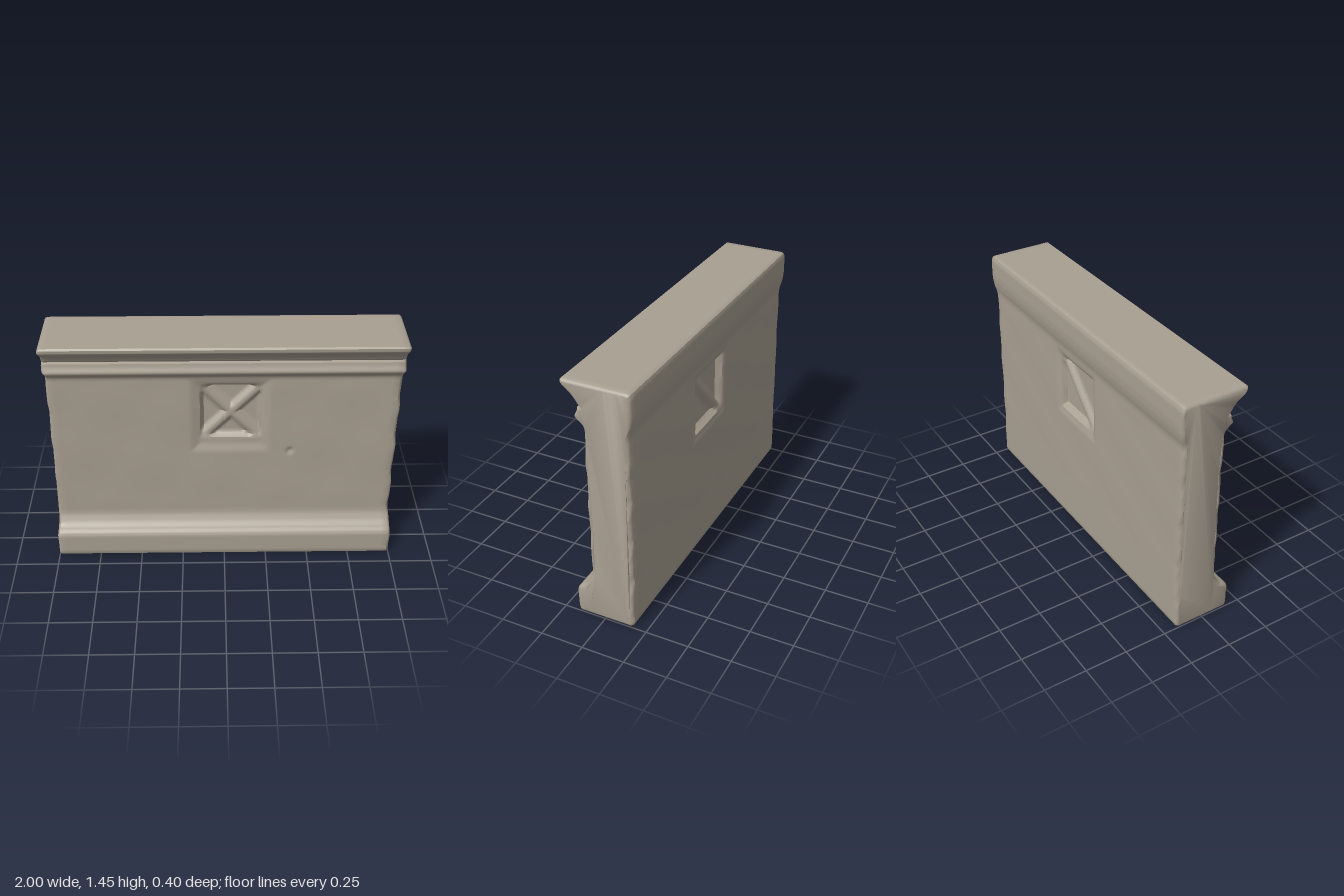
import * as THREE from 'three';
import { toCreasedNormals } from 'three/addons/utils/BufferGeometryUtils.js';

const FRONT = 0.08, BACK = -0.175;

// Cross-section [z, y]: up the front, over the top, down the back
const PROFILE = [
  [0.15, 0], [0.163, 0.008], [0.17, 0.03], [0.17, 0.145], [0.165, 0.16], [0.15, 0.176],
  [0.125, 0.188], [0.107, 0.207], [0.094, 0.23], [0.084, 0.25], [FRONT, 0.275],
  [FRONT, 1.19], [0.086, 1.207], [0.105, 1.228], [0.123, 1.245], [0.125, 1.256],
  [0.112, 1.285], [0.108, 1.304], [0.092, 1.31], [0.106, 1.322], [0.116, 1.34],
  [0.135, 1.365], [0.165, 1.39], [0.19, 1.408], [0.199, 1.422], [0.199, 1.438], [0.19, 1.446],
  [-0.175, 1.446], [-0.19, 1.44], [-0.197, 1.42], [-0.198, 1.33], [-0.195, 1.29],
  [-0.188, 1.25], [-0.178, 1.215], [BACK, 1.19], [BACK, 0.03], [-0.17, 0.01], [-0.157, 0],
];

const smooth = THREE.MathUtils.smoothstep;
const wave = (a, b) => Math.sin(a * 9.1 + b * 4.3) * Math.sin(b * 11.7 - a * 5.2 + 1.3);

// Subdivide the long runs of the profile
function denseProfile() {
  const pts = [];
  PROFILE.forEach((p, i) => {
    const q = PROFILE[(i + 1) % PROFILE.length];
    const n = Math.max(1, Math.ceil(Math.hypot(q[0] - p[0], q[1] - p[1]) / 0.014));
    for (let k = 0; k < n; k++) {
      pts.push(new THREE.Vector2(p[0] + (q[0] - p[0]) * k / n, p[1] + (q[1] - p[1]) * k / n));
    }
  });
  return pts;
}

// Soft-edged rectangular sink, 0 outside and 1 inside
const sink = (x, y, x0, x1, y0, y1, w) => smooth(Math.min(x - x0, x1 - x, y - y0, y1 - y), 0, w);

// Depth of the carved panel; the front has a crossed rib, the back one diagonal
function carving(x, y, crossed) {
  const u = (x - 0.04) / 0.165, v = (y - 0.955) / 0.17;
  let rib = Math.abs(u - v) * 0.118;
  if (crossed) rib = Math.min(rib, Math.abs(u + v) * 0.118);
  const bed = 0.25 + 0.75 * smooth(rib, 0.008, 0.045);
  const frame = crossed
    ? 0.016 * sink(x, y, -0.2, 0.27, 0.69, 1.195, 0.07)
    : 0.008 * sink(x, y, -0.17, 0.26, 0.74, 1.18, 0.04);
  let depth = frame + 0.036 * bed * sink(x, y, -0.14, 0.22, 0.785, 1.145, 0.025);
  if (crossed) depth += 0.012 * (1 - smooth(Math.hypot(x - 0.38, y - 0.7), 0.005, 0.03));
  return depth;
}

// Section positions along x with the rounding inset at both ends
function sections() {
  const list = [[-1, 0.016], [-0.995, 0.006], [-0.985, 0]];
  for (let x = -0.95; x < 0.96;) {
    list.push([x, 0]);
    x += x > -0.24 && x < 0.42 ? 0.011 : 0.035;
  }
  list.push([0.985, 0], [0.995, 0.006], [1, 0.016]);
  return list;
}

function wallGeometry() {
  const prof = denseProfile(), m = prof.length, secs = sections();
  const normals = prof.map((p, j) => {
    const t = prof[(j + 1) % m].clone().sub(prof[(j + m - 1) % m]).normalize();
    return new THREE.Vector2(t.y, -t.x);
  });
  const pos = [], idx = [];
  secs.forEach(([sx, inset]) => {
    prof.forEach((p, j) => {
      // worn edges: the inset varies along the end outlines
      const wear = inset * (1 + 0.5 * Math.sin(p.y * 37) * Math.sin(p.y * 13 + sx));
      let z = p.x - normals[j].x * wear;
      const y = p.y - normals[j].y * wear;
      // the plain face stands slightly narrower than base and cornice
      const shaft = smooth(p.y, 0.15, 0.3) * (1 - smooth(p.y, 1.15, 1.3));
      const x = sx * (1 - shaft * (0.01 + 0.003 * Math.sin(p.y * 23 + sx)));
      const plain = smooth(p.y, 0.27, 0.4) * (1 - smooth(p.y, 1.1, 1.19));
      if (Math.abs(p.x - FRONT) < 0.001) {
        z -= carving(x, y, true) - 0.0015 * plain * wave(x, y);
      } else if (Math.abs(p.x - BACK) < 0.001) {
        z += carving(x, y, false) + 0.0015 * plain * wave(y, x);
      }
      pos.push(x, y, z);
    });
  });
  // skin between neighbouring sections
  for (let i = 0; i < secs.length - 1; i++) {
    for (let j = 0; j < m; j++) {
      const k = (j + 1) % m;
      const a = i * m + j, b = a + m, c = (i + 1) * m + k, d = i * m + k;
      idx.push(a, b, c, a, c, d);
    }
  }
  // end caps
  for (const [start, side] of [[0, -1], [(secs.length - 1) * m, 1]]) {
    const outline = prof.map((_, j) =>
      new THREE.Vector2(-pos[(start + j) * 3 + 2], pos[(start + j) * 3 + 1]));
    for (const [a, b, c] of THREE.ShapeUtils.triangulateShape(outline, [])) {
      const area = outline[b].clone().sub(outline[a]).cross(outline[c].clone().sub(outline[a]));
      if (area * side > 0) idx.push(start + a, start + b, start + c);
      else idx.push(start + a, start + c, start + b);
    }
  }
  const geo = new THREE.BufferGeometry();
  geo.setAttribute('position', new THREE.Float32BufferAttribute(pos, 3));
  geo.setIndex(idx);
  return toCreasedNormals(geo, 0.7);
}

export function createModel() {
  const group = new THREE.Group();
  group.name = 'stoneParapet';
  const stone = new THREE.MeshStandardMaterial({ color: 0xa89f91 });
  stone.name = 'warm grey stone';
  const wall = new THREE.Mesh(wallGeometry(), stone);
  wall.name = 'mouldedWall';
  group.add(wall);
  return group;
}
